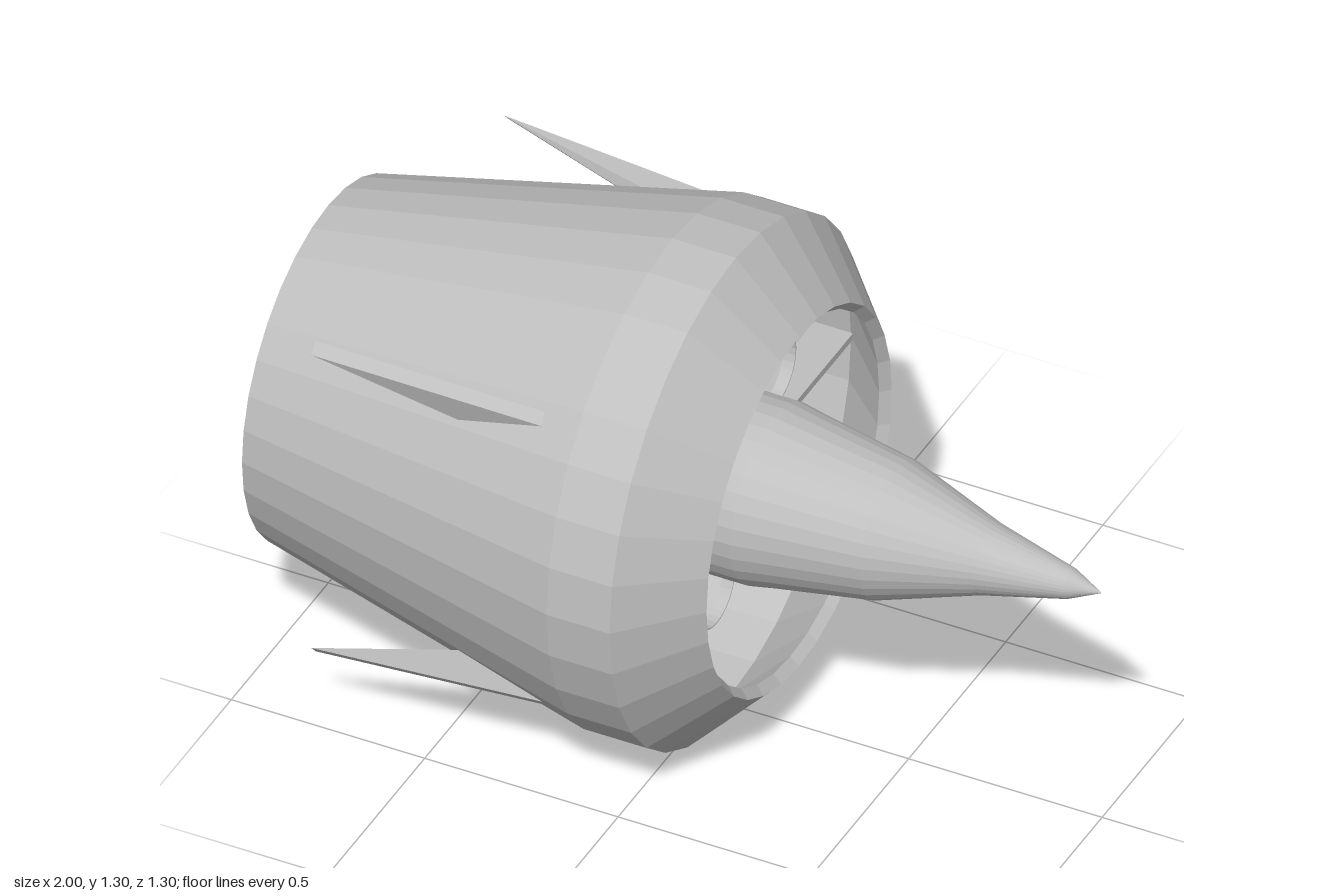
import * as THREE from 'three';
import { ConvexGeometry } from 'three/addons/geometries/ConvexGeometry.js';

const AXIS_Y = 0.65;

export function createModel() {
  const model = new THREE.Group();
  model.name = 'engineNacelle';
  const grey = new THREE.MeshStandardMaterial({ color: 0xbfbfbf, flatShading: true, side: THREE.DoubleSide });
  grey.name = 'metalGrey';

  const engine = new THREE.Group();
  engine.name = 'engine';
  engine.position.y = AXIS_Y;
  model.add(engine);

  const add = (name, geometry, parent = engine) => {
    const mesh = new THREE.Mesh(geometry, grey);
    mesh.name = name;
    parent.add(mesh);
    return mesh;
  };

  // Revolve [x, radius] pairs around the x axis
  const revolve = (profile) =>
    new THREE.LatheGeometry(profile.map(([x, r]) => new THREE.Vector2(r, x)), 32).rotateZ(-Math.PI / 2);

  // Hollow casing of even thickness: outside skin, front lip, then the inside
  add('casing', revolve([
    [-1, 0.445], [-0.11, 0.65], [0.053, 0.65], [0.217, 0.477],
    [0.195, 0.456], [0.04, 0.62], [-0.107, 0.62], [-0.993, 0.416], [-1, 0.445],
  ]));

  // Pointed centre spike
  add('spike', revolve([
    [-0.04, 0], [-0.04, 0.222], [0.15, 0.222], [0.215, 0.21], [0.46, 0.17],
    [0.71, 0.087], [0.92, 0.037], [1, 0],
  ]));

  // Crossbar holding the spike
  add('crossbar', new THREE.BoxGeometry(0.1, 0.018, 1.22)).position.set(0, 0.008, 0);

  // Thin hoops around the spike
  const hoops = new THREE.Group();
  hoops.name = 'hoops';
  engine.add(hoops);
  const hoopGeometry = revolve([[-0.015, 0.096], [0.015, 0.096], [0.015, 0.093], [-0.015, 0.093], [-0.015, 0.096]]);
  for (const degrees of [0, 35, 70, 107.5, 141.5, 176, 211, 246, 291, 324.5]) {
    const a = THREE.MathUtils.degToRad(degrees);
    add('hoop', hoopGeometry, hoops).position.set(0, 0.313 * Math.cos(a), 0.313 * Math.sin(a));
  }

  // Four swept fins, mirrored over both planes; last corner is sunk in the skin
  const finCorners = [[-0.19, 0.411, 0.469], [-0.79, 0.437, 0.495], [-0.43, 0.346, 0.457], [-0.3, 0.36, 0.45]];
  for (const sy of [1, -1]) {
    for (const sz of [1, -1]) {
      const points = [];
      for (const [x, y, z] of finCorners) {
        for (const t of [0.017, -0.017]) {
          points.push(new THREE.Vector3(x, sy * (y + 0.74 * t), sz * (z - 0.67 * t)));
        }
      }
      add('fin', new ConvexGeometry(points));
    }
  }
  return model;
}
